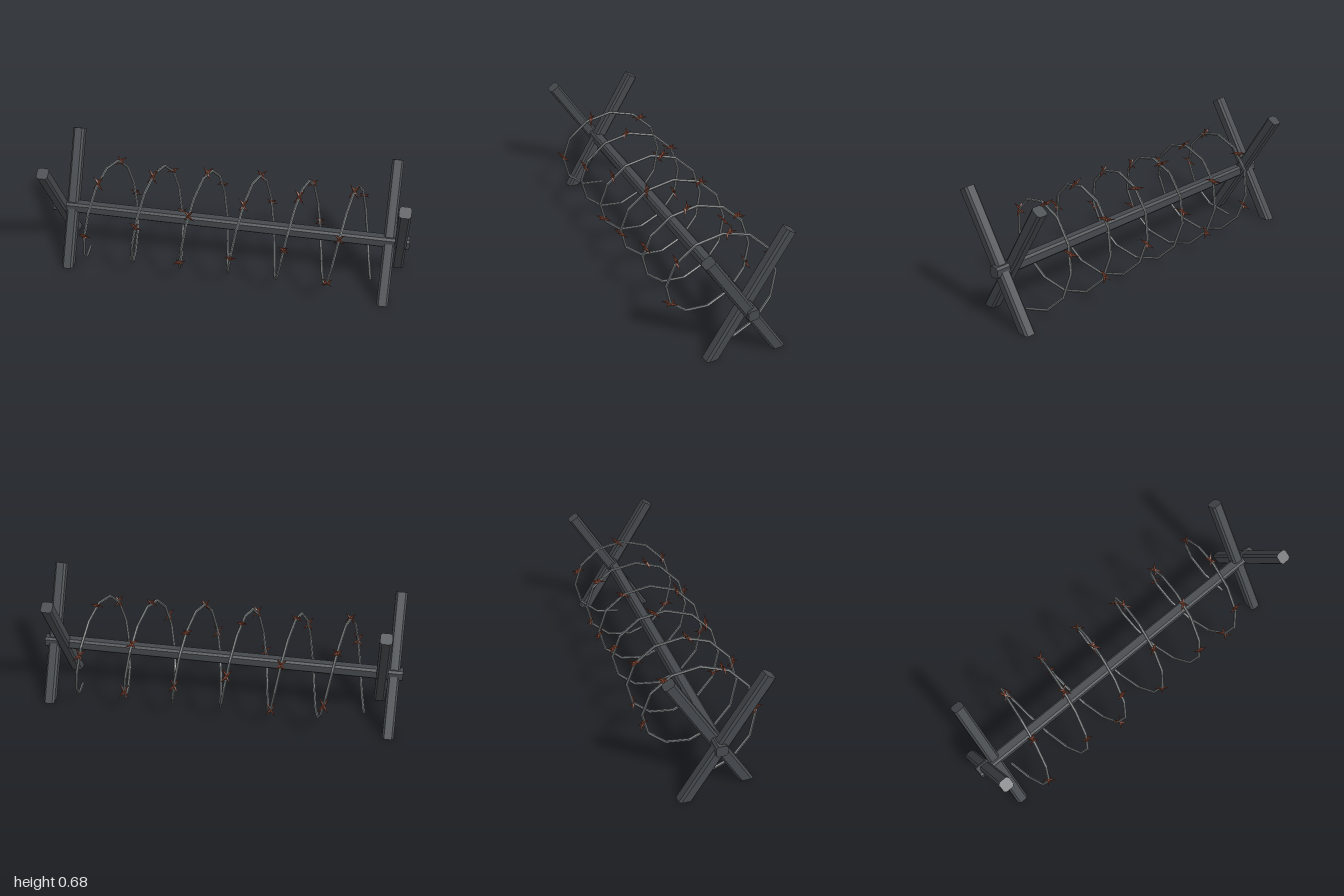
import * as THREE from 'three';

const material = (name, color, extra = {}) =>
  new THREE.MeshStandardMaterial({ name, color, flatShading: true, ...extra });

const AXIS_Y = 0.29, RADIUS = 0.28, TURNS = 6, HALF = 0.81;

// Point on the coil; angle 0 is at the bottom, turning towards the front
function coilPoint(a, out = new THREE.Vector3()) {
  return out.set(
    -HALF + (2 * HALF * a) / (TURNS * Math.PI * 2),
    AXIS_Y - RADIUS * Math.cos(a),
    RADIUS * Math.sin(a)
  );
}

class CoilCurve extends THREE.Curve {
  getPoint(t, target = new THREE.Vector3()) {
    return coilPoint(t * TURNS * Math.PI * 2, target);
  }
}

// Square timber with chamfered long edges, running along +z from the origin
function timber(width, length, c = 0.011) {
  const h = width / 2;
  const shape = new THREE.Shape([
    [-h + c, -h], [h - c, -h], [h, -h + c], [h, h - c],
    [h - c, h], [-h + c, h], [-h, h - c], [-h, -h + c],
  ].map(([x, y]) => new THREE.Vector2(x, y)));
  return new THREE.ExtrudeGeometry(shape, { depth: length, bevelEnabled: false });
}

// Leaning post: square top, foot cut level with the ground
function postGeometry(lean) {
  const foot = new THREE.Vector3(0, 0, -0.173 * lean);
  const top = new THREE.Vector3(0, 0.662, 0.239 * lean);
  const d = top.clone().sub(foot);
  const length = d.length();
  d.normalize();
  const X = new THREE.Vector3(1, 0, 0);
  const geo = timber(0.063, length);
  const pos = geo.attributes.position;
  const m = new THREE.Matrix4().makeBasis(X, d.clone().cross(X), d).setPosition(foot);
  const v = new THREE.Vector3();
  for (let i = 0; i < pos.count; i++) {
    const atFoot = pos.getZ(i) < length / 2;
    v.fromBufferAttribute(pos, i).applyMatrix4(m);
    if (atFoot) v.addScaledVector(d, -v.y / d.y);
    pos.setXYZ(i, v.x, v.y, v.z);
  }
  geo.computeVertexNormals();
  return geo;
}

export function createModel() {
  const root = new THREE.Group();
  root.name = 'wireBarricade';
  const darkTimber = material('dark timber', 0x45494d);
  const steel = material('wire steel', 0x787d7e, { side: THREE.DoubleSide });
  const rust = material('rusty barb', 0x80422f);

  const add = (name, geo, mat, parent = root) => {
    const mesh = new THREE.Mesh(geo, mat);
    mesh.name = name;
    parent.add(mesh);
    return mesh;
  };

  // Long crossbeam
  const beam = timber(0.061, 2);
  beam.translate(0, 0, -1).rotateY(Math.PI / 2);
  add('crossbeam', beam, darkTimber).position.y = AXIS_Y;

  // Crossed posts at both ends
  for (const side of [-1, 1]) {
    const name = side > 0 ? 'left' : 'right';
    add(name + 'OuterPost', postGeometry(1), darkTimber).position.x = side * 0.952;
    add(name + 'InnerPost', postGeometry(-1), darkTimber).position.x = side * 0.89;
  }

  // Coiled wire, twelve straight pieces per turn
  add('coiledWire', new THREE.TubeGeometry(new CoilCurve(), TURNS * 12, 0.008, 6), steel);

  // Four-pointed barbs, left out along the bottom of the coil
  const spike = new THREE.ConeGeometry(0.01, 0.052, 4);
  spike.translate(0, 0.022, 0);
  const up = new THREE.Vector3(0, 1, 0);
  const tilt = THREE.MathUtils.degToRad(37);
  for (let k = 0; k < 32; k++) {
    const a = THREE.MathUtils.degToRad(93 + 63.1 * k);
    const p = coilPoint(a);
    if (p.y < 0.13) continue;
    const barb = new THREE.Group();
    barb.name = 'barb';
    barb.position.copy(p);
    const radial = new THREE.Vector3(0, -Math.cos(a), Math.sin(a));
    const along = new THREE.Vector3(0, Math.sin(a), Math.cos(a));
    const lean = radial.multiplyScalar(Math.cos(tilt)).addScaledVector(along, Math.sin(tilt));
    for (const s of [-1, 1]) {
      for (const t of [-1, 1]) {
        const dir = lean.clone().multiplyScalar(0.8 * s);
        dir.x = 0.6 * t;
        const mesh = add('spike', spike, rust, barb);
        mesh.quaternion.setFromUnitVectors(up, dir.normalize());
        mesh.position.copy(along).multiplyScalar(0.004 * s);
      }
    }
    root.add(barb);
  }
  return root;
}
